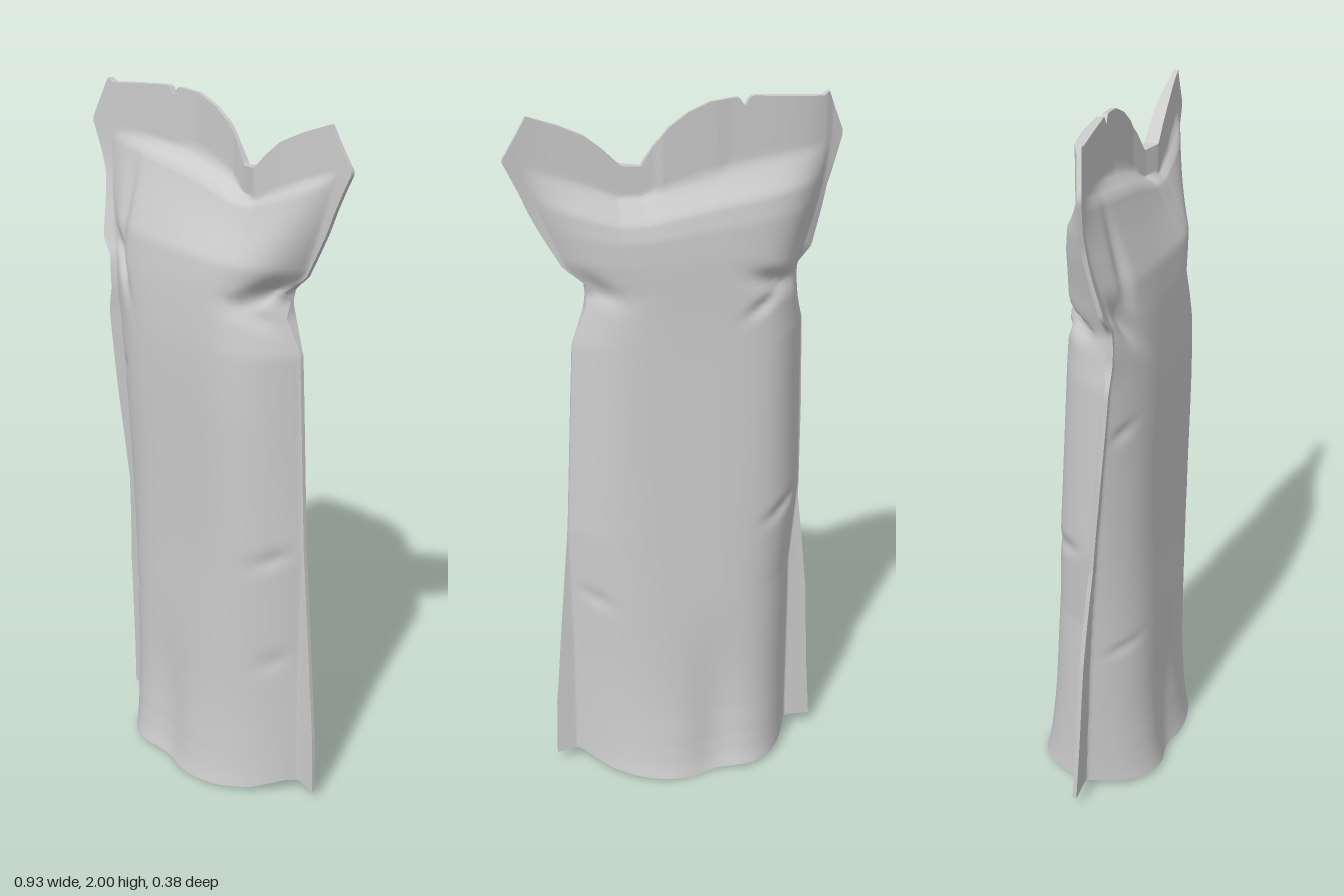
import * as THREE from 'three';

const { clamp, smoothstep, lerp } = THREE.MathUtils;
const gauss = (d, r) => Math.exp(-(d * d) / (r * r));

// Piecewise curve through [input, value] pairs
function curve(pts) {
  return (t) => {
    let i = 0;
    while (i < pts.length - 2 && t > pts[i + 1][0]) i++;
    const [a, va] = pts[i], [b, vb] = pts[i + 1];
    return lerp(va, vb, clamp((t - a) / (b - a), 0, 1));
  };
}

// Rounds off the bends of a height curve, but leaves the foot and the top folds sharp
function soften(f) {
  return (s) => {
    const r = Math.min(0.14, s, Math.max(0, (1.6 - s) * 0.4));
    let sum = 0;
    for (let k = -3; k <= 3; k++) sum += f(s + (r * k) / 3);
    return sum / 7;
  };
}

// Outer edges of the pouch by height
const leftEdge = curve([[0, -0.42], [0.2, -0.41], [0.5, -0.4], [0.8, -0.372], [1.1, -0.38], [1.35, -0.38],
  [1.42, -0.362], [1.51, -0.362], [1.56, -0.4], [1.74, -0.425], [1.88, -0.468], [2, -0.415]]);
const rightEdge = curve([[0, 0.39], [0.2, 0.385], [0.5, 0.36], [0.8, 0.333], [1.2, 0.312], [1.36, 0.303],
  [1.46, 0.265], [1.53, 0.262], [1.58, 0.32], [1.72, 0.395], [1.88, 0.468], [2, 0.4]]);

// Where the filled body ends and the flat side seams begin
const leftBodyFront = curve([[0, -0.335], [0.6, -0.335], [1.3, -0.34], [1.5, -0.34], [1.7, -0.395], [1.88, -0.42]]);
const leftBodyBack = curve([[0, -0.335], [0.6, -0.34], [0.85, -0.37], [1.35, -0.376], [1.5, -0.358], [1.7, -0.4], [1.88, -0.43]]);
const rightBody = curve([[0, 0.33], [0.4, 0.325], [0.8, 0.33], [1.2, 0.31], [1.36, 0.301], [1.5, 0.261], [1.6, 0.32], [1.88, 0.43]]);

// The left seam leans forward as it rises
const leftSeamLean = soften(curve([[0, 0], [0.5, 0.02], [0.8, 0.04], [1.2, 0.08], [1.45, 0.1], [1.6, 0.09], [1.88, 0.06]]));

// Depth of the front and back panels by height
const frontDepth = soften(curve([[0, 0.185], [0.06, 0.172], [0.2, 0.157], [0.8, 0.147], [1.3, 0.157], [1.5, 0.145],
  [1.62, 0.13], [1.75, 0.085], [1.85, 0.052], [1.88, 0]]));
const backDepth = soften(curve([[0, -0.187], [0.06, -0.17], [0.2, -0.15], [0.4, -0.137], [0.8, -0.11], [1.4, -0.072],
  [1.6, -0.065], [1.7, -0.06], [1.77, -0.048], [1.86, 0.01]]));

// Torn top outline, fold below the seal, bend of the seal, and wavy bottom rim, all by x
const topEdge = curve([[-0.42, 2], [-0.4, 1.985], [-0.18, 2], [-0.08, 1.99], [-0.02, 1.965], [0.03, 1.93],
  [0.07, 1.885], [0.105, 1.832], [0.16, 1.836], [0.2, 1.875], [0.25, 1.915], [0.32, 1.947], [0.4, 1.975]]);
const foldDrop = curve([[-0.42, 0], [-0.1, 0.055], [0.1, 0.1], [0.17, 0.1], [0.3, 0.055], [0.42, 0.01]]);
const sealBend = curve([[-0.47, 0.062], [-0.41, 0.042], [-0.3, 0.028], [-0.1, 0.006], [0.05, 0.005], [0.11, 0.02],
  [0.16, 0.038], [0.25, 0.033], [0.36, 0.018], [0.47, 0.006]]);
const rimHeight = curve([[-0.42, 0.035], [-0.35, 0.04], [-0.27, 0.018], [-0.12, 0.012], [0, 0], [0.15, 0.008],
  [0.24, 0.018], [0.31, 0.042], [0.39, 0.03]]);

// Creases: [x, y, radius x, radius y, depth, slope, side (1 front, -1 back)]
const creases = [
  [0.24, 1.53, 0.05, 0.025, 0.04, 0.5, 1], [0.22, 1.46, 0.05, 0.02, 0.015, -0.6, 1],
  [-0.31, 1.53, 0.06, 0.035, 0.025, -1.2, 1], [-0.29, 1.66, 0.025, 0.12, 0.012, 0, 1],
  [-0.31, 1.2, 0.04, 0.02, 0.01, 0.4, 1], [-0.28, 0.5, 0.05, 0.018, 0.008, 0.3, 1],
  [0.29, 0.78, 0.05, 0.025, 0.012, 0.5, 1], [0.29, 0.45, 0.04, 0.03, 0.01, 0.5, 1],
  [-0.28, 1.5, 0.08, 0.025, 0.035, 0.3, -1], [-0.22, 1.45, 0.05, 0.02, 0.012, -0.5, -1],
  [0.24, 1.52, 0.06, 0.03, 0.015, 0.5, -1], [-0.3, 0.83, 0.06, 0.02, 0.015, -0.4, -1],
  [0.28, 0.6, 0.05, 0.02, 0.01, 0.4, -1],
];

// How full the panel is between its middle (t = 0) and the seam (t = +-1)
function fullness(t, s, side) {
  const d = Math.min(1, Math.abs(t));
  if (t < 0) return 1 - Math.pow(d, 4.5);
  const foot = side > 0 ? 2.8 : 2.5;
  return 1 - Math.pow(d, lerp(foot, 4.5, smoothstep(s, 0.1, 1.3)));
}

// A point on one panel: u runs left edge to right edge, s is the unrolled height
function panelPoint(u, s, side) {
  const x = lerp(leftEdge(s), rightEdge(s), u);
  const fold = foldDrop(x);
  const drop = fold * smoothstep(s, 1.5, 1.88) + (2 - topEdge(x) - fold) * smoothstep(s, 1.82, 2);
  const notch = 0.024 * gauss(x + 0.175, 0.011) * smoothstep(s, 1.95, 2);
  const y = s - drop - notch + rimHeight(x) * clamp(1 - s / 0.3, 0, 1);
  const lean = leftSeamLean(s) * Math.pow(1 - u, 2);
  const seam = lerp(lean, sealBend(x), smoothstep(s, 1.5, 1.86));
  const a = side > 0 ? leftBodyFront(s) : leftBodyBack(s), b = rightBody(s);
  const fill = fullness((x - (a + b) / 2) / ((b - a) / 2), s, side);
  let depth = Math.max(0, side * ((side > 0 ? frontDepth(s) : backDepth(s)) - seam));
  // shallow groove down the middle, strongest at the foot
  depth -= 0.02 * gauss(x + 0.07, 0.07) * (1 - smoothstep(s, 0, 0.6));
  let dent = 0;
  for (const [cx, cy, rx, ry, d, slope, face] of creases) {
    if (face === side) dent += d * gauss(x - cx, rx) * gauss(y - cy - slope * (x - cx), ry);
  }
  const z = Math.max(0, depth * fill - dent * Math.min(1, fill * 2));
  return [x, y, seam + side * (z + 0.006)];
}

// Surface from a rule over a grid of u, v in 0..1
function surface(name, nu, nv, rule, material) {
  const pos = [], index = [];
  for (let j = 0; j <= nv; j++) {
    for (let i = 0; i <= nu; i++) pos.push(...rule(i / nu, j / nv));
  }
  for (let j = 0; j < nv; j++) {
    for (let i = 0; i < nu; i++) {
      const a = j * (nu + 1) + i, c = a + nu + 1;
      index.push(a, a + 1, c + 1, a, c + 1, c);
    }
  }
  const geo = new THREE.BufferGeometry();
  geo.setAttribute('position', new THREE.Float32BufferAttribute(pos, 3));
  geo.setIndex(index);
  geo.computeVertexNormals();
  const mesh = new THREE.Mesh(geo, material);
  mesh.name = name;
  return mesh;
}

export function createModel() {
  const group = new THREE.Group();
  group.name = 'pouch';
  const film = new THREE.MeshStandardMaterial({ color: 0xcccccc, side: THREE.DoubleSide });
  const NU = 150, NV = 140;

  // Front and back film panels
  group.add(surface('frontPanel', NU, NV, (u, v) => panelPoint(u, 2 * v, 1), film));
  group.add(surface('backPanel', NU, NV, (u, v) => panelPoint(1 - u, 2 * v, -1), film));

  // Thin edges closing the two side seams and the top seal
  for (const [name, u] of [['leftSeamEdge', 1], ['rightSeamEdge', 0]]) {
    group.add(surface(name, 1, NV, (w, v) => panelPoint(u, 2 * v, (w < 0.5) === (u === 1) ? 1 : -1), film));
  }
  group.add(surface('topSealEdge', NU, 1, (u, w) => panelPoint(u, 2, w < 0.5 ? 1 : -1), film));

  // Bottom gusset: hugs both panels from the rim, then spans across between them
  group.add(surface('bottomGusset', NU, 28, (u, w) => {
    const apex = 0.16 + 0.2 * Math.pow(2 * u - 1, 4);
    const s = apex * (1 - Math.pow(Math.abs(2 * w - 1), 3));
    const [x, y, front] = panelPoint(u, s, 1);
    const back = panelPoint(u, s, -1)[2];
    return [x, y, lerp(back, front, w)];
  }, film));

  return group;
}
